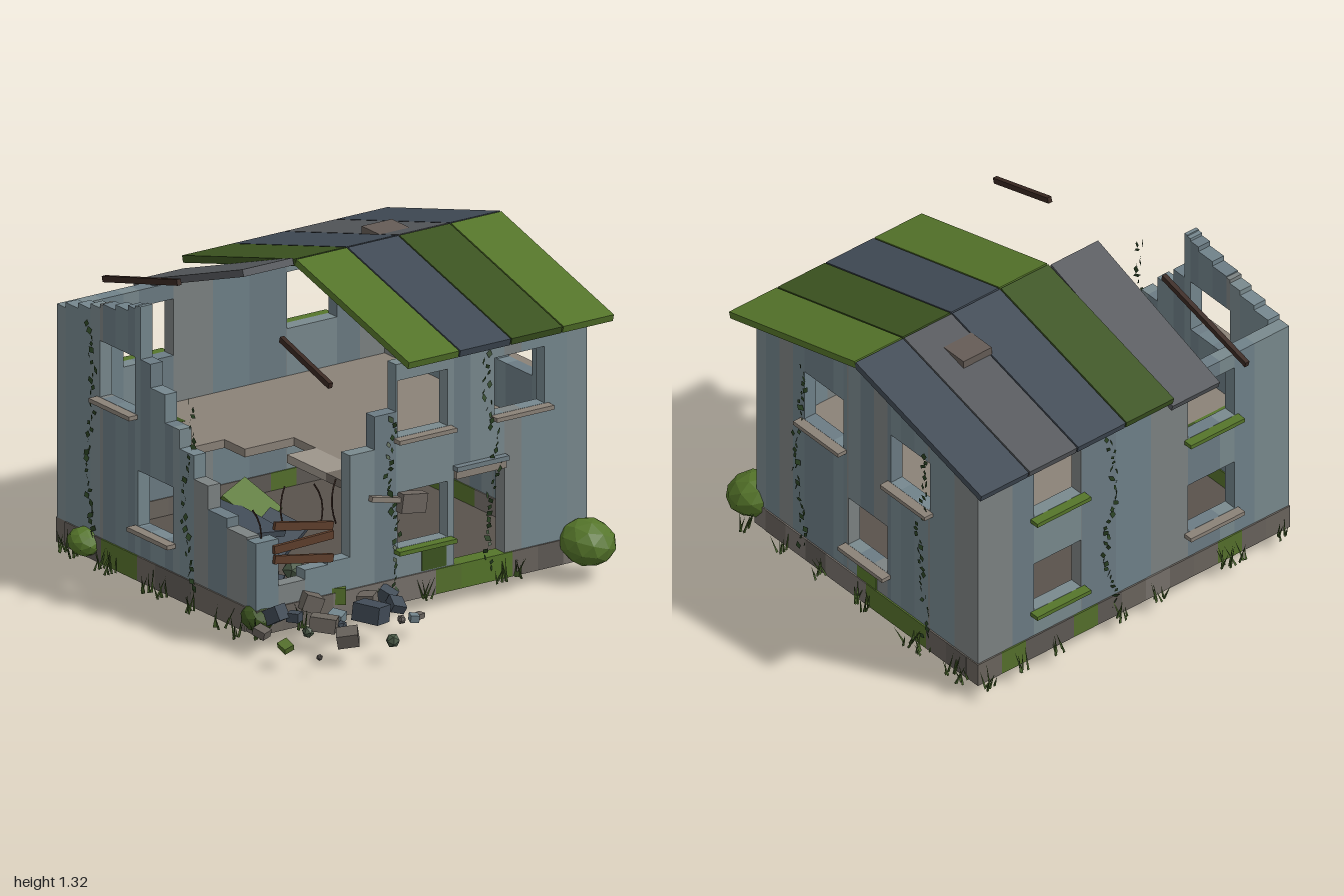
import * as THREE from 'three';
import { mergeGeometries } from 'three/addons/utils/BufferGeometryUtils.js';

let seed = 7;
const rnd = (a = 0, b = 1) => {
  seed = (seed * 16807) % 2147483647;
  return a + (b - a) * (seed / 2147483647);
};
const pick = (list) => list[Math.floor(rnd(0, list.length))];

const WALL = [0x70828a, 0x76888f, 0x6c7c84, 0x7a8a8e, 0x7d8383];
const STONE = [0x5f5a55, 0x77716b, 0x68625c, 0x6b655e, 0x55702c];
const MOSS = 0x55752a, DARKMOSS = 0x3c5420, SLATE = 0x414b56, GREYSLATE = 0x55585c;
const WOOD = 0x5f3f2c, DARKWOOD = 0x3a2922, BEIGE = 0x8b8278;
const BASE = 0.06, TOP = 1.07, RIDGE_Z = -0.165;

const mats = {};
const mat = (color) => (mats[color] ??= new THREE.MeshStandardMaterial({ color, flatShading: true, side: THREE.DoubleSide }));

export function createModel() {
  const root = new THREE.Group();
  const group = (name) => {
    const g = new THREE.Group();
    g.name = name;
    root.add(g);
    return g;
  };
  const add = (parent, name, geo, color, pos = [0, 0, 0], rot = [0, 0, 0]) => {
    const m = new THREE.Mesh(geo, mat(color));
    m.name = name;
    m.position.set(...pos);
    m.rotation.set(...rot);
    parent.add(m);
    return m;
  };
  const box = (parent, name, size, pos, color, rot) => add(parent, name, new THREE.BoxGeometry(...size), color, pos, rot);
  // box given by its limits
  const span = (parent, name, x0, x1, y0, y1, z0, z1, color) =>
    box(parent, name, [x1 - x0, y1 - y0, z1 - z0], [(x0 + x1) / 2, (y0 + y1) / 2, (z0 + z1) / 2], color);

  // Wall of vertical strips; holes are [u0, u1, y0, y1], top(u0, u1) gives each strip's height
  function wall(name, alongX, w0, w1, edges, holes, top) {
    const g = group(name);
    const cuts = [...new Set([...edges, ...holes.flatMap((h) => [h[0], h[1]])])].sort((a, b) => a - b);
    for (let i = 0; i + 1 < cuts.length; i++) {
      const [a, b] = [cuts[i], cuts[i + 1]], mid = (a + b) / 2, color = pick(WALL), h = top(a, b);
      let y = BASE;
      const piece = (y0, y1) => {
        if (y1 - y0 < 0.005) return;
        if (alongX) span(g, 'wallStrip', a, b, y0, y1, w0, w1, color);
        else span(g, 'wallStrip', w0, w1, y0, y1, a, b, color);
      };
      for (const hole of holes.filter((q) => mid > q[0] && mid < q[1]).sort((p, q) => p[2] - q[2])) {
        piece(y, Math.min(hole[2], h));
        y = hole[3];
      }
      piece(y, h);
    }
  }
  const win = (c, upper) => (upper ? [c - 0.122, c + 0.122, 0.76, 1.0] : [c - 0.122, c + 0.122, 0.29, 0.525]);
  const strips = (a, b, n) => Array.from({ length: n + 1 }, (_, i) => a + ((b - a) * i) / n);

  // Front wall, its left part broken down in steps
  const frontTops = [[-0.69, 0.45], [-0.56, 0.25], [-0.45, 0.29], [-0.34, 0.3], [-0.22, 0.73], [-0.115, 0.87]];
  wall('frontWall', true, 0.47, 0.53, [-0.8, ...frontTops.map((t) => t[0]), 0.25, 0.5, 0.72, 0.82],
    [win(0.015, true), win(0.49, true), win(0.015, false), [0.17, 0.415, 0.07, 0.54]],
    (a, b) => (frontTops.find((t) => (a + b) / 2 < t[0]) ?? [0, TOP])[1]);
  wall('backWall', true, -0.85, -0.79, strips(-0.8, 0.82, 9),
    [win(-0.395, true), win(0.405, true), win(-0.395, false), win(0.405, false)], () => TOP);

  // Gable walls with stepped tops
  const gableTop = (a, b) => 1.255 - 0.26 * Math.max(Math.abs(a - RIDGE_Z), Math.abs(b - RIDGE_Z));
  wall('rightWall', false, 0.76, 0.82, strips(-0.79, 0.47, 15),
    [win(0.11, true), win(-0.43, true), win(-0.165, false)], gableTop);
  const leftTops = [[-0.2, 1.0], [-0.1, 0.9], [0, 0.78], [0.1, 0.7], [0.2, 0.6], [0.33, 0.5], [0.47, 0.46]];
  wall('leftWall', false, -0.8, -0.74, [...strips(-0.79, -0.27, 6), ...leftTops.map((t) => t[0])],
    [win(-0.43, true), win(-0.165, false)],
    (a, b) => ((a + b) / 2 < -0.27 ? gableTop(a, b) : leftTops.find((t) => (a + b) / 2 < t[0])[1]));

  // Stone plinth in blocks
  const plinth = group('plinth');
  strips(-0.8, 0.7, 12).forEach((x) => {
    const x1 = x + 0.125 > 0.8 ? 0.825 : x + 0.125;
    span(plinth, 'plinthBlock', x, x1, BASE, 0.165, 0.465, 0.537, x > 0.15 && x < 0.4 ? MOSS : pick(STONE));
    span(plinth, 'plinthBlock', x, x1, BASE, 0.165, -0.857, -0.785, pick(STONE));
  });
  strips(-0.785, 0.34, 9).forEach((z) => {
    span(plinth, 'plinthBlock', 0.755, 0.827, BASE, 0.165, z, z + 0.125, pick(STONE));
    span(plinth, 'plinthBlock', -0.807, -0.735, BASE, 0.165, z, z + 0.125, pick(STONE));
  });

  // Floors: whole ground slab, upper floor with a hole at the broken corner
  const floors = group('floors');
  span(floors, 'groundFloor', -0.79, 0.81, 0.058, 0.09, -0.84, 0.52, 0x59524c);
  span(floors, 'upperFloorBack', -0.74, -0.36, 0.525, 0.56, -0.58, -0.31, BEIGE);
  span(floors, 'mossyFloor', -0.74, -0.53, 0.525, 0.561, -0.79, -0.58, MOSS);
  span(floors, 'mossyFloorDark', -0.53, -0.36, 0.525, 0.561, -0.79, -0.58, DARKMOSS);
  span(floors, 'upperFloorMiddle', -0.36, -0.12, 0.525, 0.56, -0.79, -0.17, BEIGE);
  span(floors, 'upperFloorEdge', -0.26, -0.12, 0.525, 0.56, -0.02, 0.25, 0x9d958b);
  span(floors, 'upperFloorFront', -0.26, -0.12, 0.525, 0.56, 0.25, 0.47, 0x6f675f);
  span(floors, 'upperFloorRight', -0.12, 0.76, 0.525, 0.56, -0.79, 0.47, BEIGE);

  // Sills under the windows and the lintel over the door
  const trim = group('sillsAndLintels');
  const sills = [
    ['z', 0.015, 0.75, 0.535], ['z', 0.49, 0.75, 0.535], ['z', 0.015, 0.28, 0.535, MOSS],
    ['z', -0.395, 0.75, -0.855, MOSS], ['z', 0.405, 0.75, -0.855, MOSS], ['z', -0.395, 0.28, -0.855], ['z', 0.405, 0.28, -0.855, MOSS],
    ['x', 0.11, 0.75, 0.825], ['x', -0.43, 0.75, 0.825], ['x', -0.165, 0.28, 0.825],
    ['x', -0.43, 0.75, -0.805], ['x', -0.165, 0.28, -0.805],
  ];
  for (const [face, c, y, w, color = BEIGE] of sills) {
    if (face === 'z') box(trim, 'windowSill', [0.28, 0.018, 0.075], [c, y, w], color);
    else box(trim, 'windowSill', [0.075, 0.018, 0.28], [w, y, c], color);
  }
  span(trim, 'doorLintel', 0.17, 0.415, 0.53, 0.565, 0.465, 0.545, BEIGE);
  span(trim, 'doorCanopy', 0.165, 0.42, 0.565, 0.585, 0.46, 0.56, 0x6f7d84);
  box(trim, 'mossPatch', [0.12, 0.1, 0.01], [0.07, 0.22, 0.528], DARKMOSS);
  box(trim, 'mossPatch', [0.01, 0.115, 0.12], [0.818, 0.222, -0.16], MOSS);

  // Roof panels between two points given as [z, y]
  const roof = group('roof');
  const slope = (name, x0, x1, [z0, y0], [z1, y1], t, color) =>
    box(roof, name, [x1 - x0, t, Math.hypot(z1 - z0, y1 - y0)], [(x0 + x1) / 2, (y0 + y1) / 2, (z0 + z1) / 2], color,
      [-Math.atan2(y1 - y0, z1 - z0), 0, 0]);
  const frontColors = [MOSS, SLATE, DARKMOSS, MOSS], backColors = [DARKMOSS, SLATE, GREYSLATE, SLATE];
  for (let i = 0; i < 4; i++) {
    const x = -0.115 + i * 0.252;
    slope('frontRoofPanel', x, x + 0.246, [RIDGE_Z, 1.302], [0.617, 1.09], 0.03, frontColors[i]);
    slope('backRoofPanel', x, x + 0.246, [-0.95, 1.09], [RIDGE_Z, 1.302], 0.03, backColors[i]);
  }
  slope('slippedRoofPanel', -0.365, -0.12, [-0.935, 1.04], [-0.175, 1.305], 0.03, GREYSLATE);
  slope('backRafter', -0.508, -0.488, [-0.95, 1.085], [-0.43, 1.22], 0.025, DARKWOOD);
  slope('frontRafter', -0.508, -0.488, [0.28, 1.185], [0.62, 1.085], 0.025, DARKWOOD);
  span(roof, 'chimney', 0.38, 0.527, 0.93, 1.285, -0.41, -0.28, 0x655c56);

  // Boards over the broken window and a hanging beam
  const boards = group('boards');
  [[0.485, -0.19], [0.415, 0.03], [0.345, -0.17]].forEach(([y, r]) =>
    box(boards, 'board', [0.29, 0.034, 0.016], [-0.575, y, 0.54], WOOD, [0, 0, r]));
  box(boards, 'hangingBeam', [0.2, 0.022, 0.03], [-0.15, 0.51, 0.54], BEIGE, [0, 0, -0.22]);
  box(boards, 'hangingBlock', [0.12, 0.08, 0.05], [-0.05, 0.48, 0.545], 0x6c655f, [0, 0, -0.15]);
  // Bent reinforcing rods
  [[-0.63, 0.52], [-0.46, 0.5], [-0.38, 0.5], [-0.76, 0.45]].forEach(([x, y], i) => {
    const d = i % 2 ? 0.04 : -0.04;
    const path = new THREE.QuadraticBezierCurve3(new THREE.Vector3(x, y - 0.06, 0.49),
      new THREE.Vector3(x + d, y + 0.04, 0.49), new THREE.Vector3(x - d / 3, y + 0.12, 0.47));
    add(boards, 'bentRod', new THREE.TubeGeometry(path, 5, 0.004, 4), DARKWOOD);
  });

  // Fallen slabs
  const rubble = group('rubble');
  box(rubble, 'fallenSlate', [0.23, 0.025, 0.36], [-0.48, 0.32, -0.07], SLATE, [0.15, 0.14, -0.2]);
  box(rubble, 'fallenSlate', [0.2, 0.025, 0.18], [-0.33, 0.24, 0.0], SLATE, [0.35, 0.45, 0.3]);
  box(rubble, 'fallenMossyPanel', [0.16, 0.02, 0.2], [-0.32, 0.32, -0.18], MOSS, [0.6, 0.4, 0]);
  box(rubble, 'sunkenSlab', [0.22, 0.035, 0.12], [-0.22, 0.04, 0.2], SLATE, [0.2, 0.2, -0.12]);
  // Loose blocks: x, z, size
  const blocks = [
    [-0.82, 0.6, 0.05], [-0.83, 0.78, 0.045], [-0.58, 0.69, 0.09], [-0.46, 0.61, 0.06], [-0.37, 0.72, 0.12], [-0.19, 0.64, 0.06],
    [-0.21, 0.79, 0.04], [-0.17, 0.77, 0.03], [-0.59, 0.87, 0.08], [-0.73, 0.57, 0.07], [-0.66, 0.6, 0.05], [-0.29, 0.58, 0.07],
    [-0.68, 0.25, 0.11], [-0.64, 0.37, 0.11], [-0.32, 0.4, 0.08], [-0.68, -0.05, 0.12], [-0.62, 0.1, 0.08], [-0.7, 0.1, 0.07],
    [-0.45, 0.35, 0.09], [-0.55, 0.42, 0.1], [-0.35, 0.28, 0.08], [-0.2, 0.42, 0.09], [-0.5, 0.2, 0.1], [-0.4, 0.5, 0.08],
    [-0.7, 0.5, 0.08], [-0.55, 0.55, 0.08], [-0.18, 0.56, 0.07],
  ];
  blocks.forEach(([x, z, s]) => box(rubble, 'fallenBlock', [s, s * rnd(0.6, 0.9), s * rnd(0.8, 1.2)],
    [x, 0.065 + s * 0.45 + (z > 0.3 && z < 0.62 ? rnd(0, 0.06) : 0.01), z], pick([...STONE, WALL[0], SLATE]), [rnd(-0.4, 0.4), rnd(0, 3), rnd(-0.4, 0.4)]));
  [[-0.44, 0.97, 0.03], [-0.77, 0.93, 0.014], [-0.43, 0.09, 0.05], [-0.31, 0.1, 0.05], [-0.25, 0.76, 0.02], [-0.2, 0.5, 0.05],
    [-0.65, 0.68, 0.025], [-0.5, 0.7, 0.025]].forEach(([x, z, r]) =>
    add(rubble, 'fallenStone', new THREE.IcosahedronGeometry(r, 0), pick([STONE[0], SLATE, 0x4c5c48]), [x, 0.065 + r, z], [x * 9, z * 9, 0]));

  // Faceted bushes
  const plants = group('plants');
  [[0.78, 0.155, 0.59, 0.118, MOSS], [-0.82, 0.13, -0.63, 0.072, MOSS], [-0.77, 0.125, 0.5, 0.07, DARKMOSS]].forEach(([x, y, z, r, c]) =>
    add(plants, 'bush', new THREE.IcosahedronGeometry(r, 1), c, [x, y, z], [0.3, x, 0]).scale.set(1, 0.78, 1));

  // Ivy trails: small pointed leaves climbing a wall
  const place = (geo, pos, rot) => geo.applyMatrix4(new THREE.Matrix4().compose(new THREE.Vector3(...pos),
    new THREE.Quaternion().setFromEuler(new THREE.Euler(...rot)), new THREE.Vector3(1, 1, 1)));
  const trails = [[0.34, 0.545, 0, 1.08], [-0.14, 0.545, 0, 0.87], [0.14, -0.865, Math.PI, 1.05], [0.835, 0.25, Math.PI / 2, 1.05],
    [0.835, -0.52, Math.PI / 2, 1.05], [-0.815, -0.6, -Math.PI / 2, 1.07], [-0.815, 0.08, -Math.PI / 2, 0.95]];
  for (const [x, z, turn, top] of trails) {
    const leaves = [];
    for (let y = 0.12; y < top; y += 0.026) {
      const off = 0.025 * Math.sin(y * 9 + x * 7) + rnd(-0.02, 0.02);
      leaves.push(place(new THREE.CircleGeometry(rnd(0.011, 0.018), 4).scale(0.75, 1.1, 1),
        [x + Math.cos(turn) * off, y, z - Math.sin(turn) * off], [rnd(-0.7, 0.7), turn + rnd(-0.9, 0.9), rnd(-0.8, 0.8)]));
    }
    add(plants, 'ivy', mergeGeometries(leaves), 0x2c4424);
  }

  // Grass tufts along the foot of the walls
  const blades = [];
  const tuft = (x, z) => {
    for (let i = 0; i < 6; i++) {
      const h = rnd(0.05, 0.11);
      blades.push(place(new THREE.ConeGeometry(0.006, h, 3).translate(0, h / 2, 0),
        [x + rnd(-0.03, 0.03), BASE, z + rnd(-0.02, 0.02)], [rnd(-0.4, 0.4), 0, rnd(-0.4, 0.4)]));
    }
  };
  for (const z of [-0.8, -0.72, -0.55, -0.47, -0.2, -0.12, 0.1, 0.32]) {
    tuft(0.855, z);
    tuft(-0.85, z + 0.05);
  }
  for (const x of [-0.72, -0.5, -0.42, -0.1, 0.1, 0.43, 0.62, 0.8]) tuft(x, -0.89);
  for (const [x, z] of [[-0.87, 0.5], [-0.8, 0.56], [-0.6, 0.56], [0.37, 0.56], [0.45, 0.56], [0.89, 0.52], [0.0, 0.56]]) tuft(x, z);
  add(plants, 'grass', mergeGeometries(blades), 0x435c27);

  return root;
}
